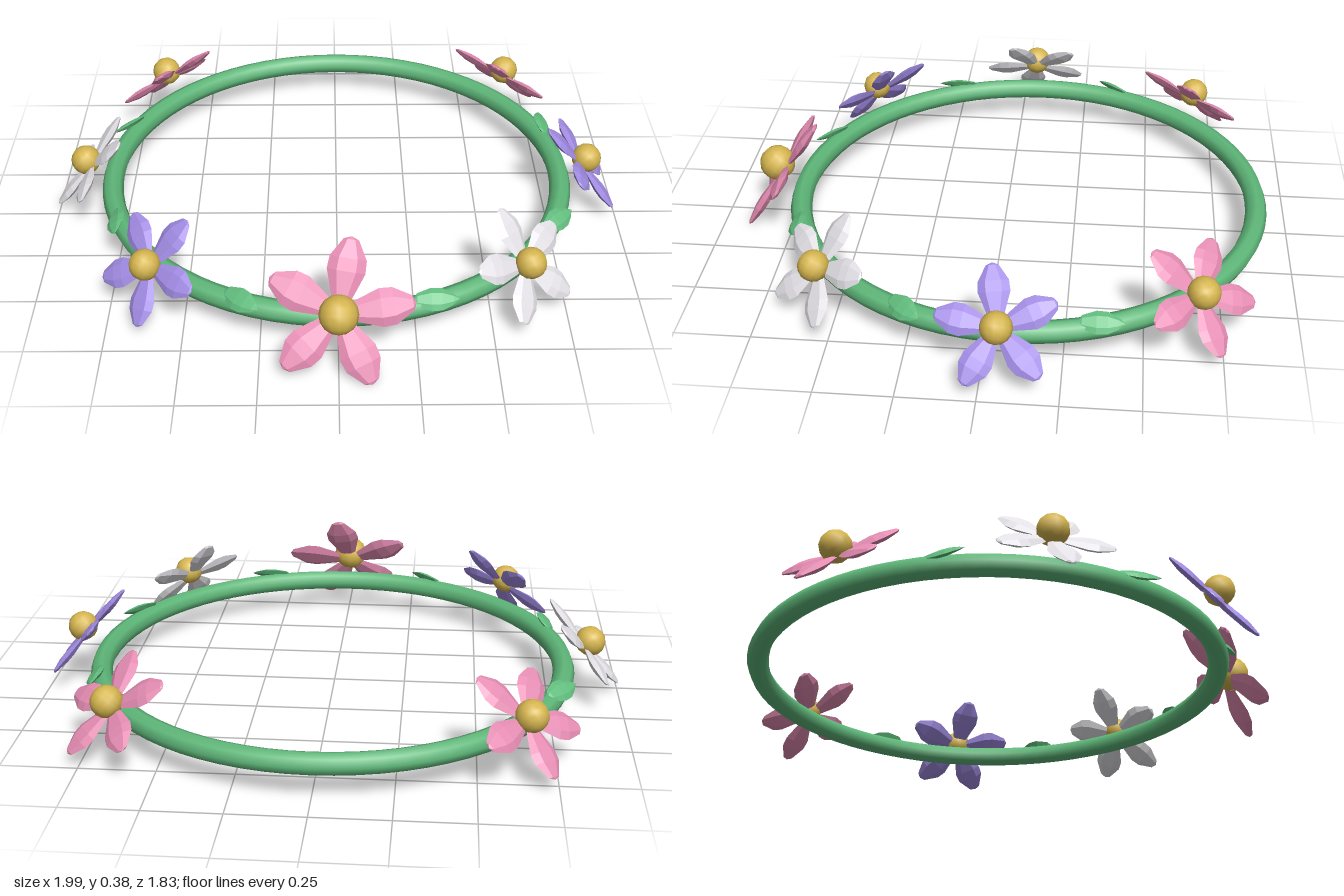
import * as THREE from 'three';

const rad = THREE.MathUtils.degToRad;

function material(name, color) {
  const m = new THREE.MeshStandardMaterial({ color });
  m.name = name;
  return m;
}

// Six-sided blade along +y, flattened in z, with faceted normals
function bladeGeometry(profile, thickness) {
  const points = profile.map(([r, y]) => new THREE.Vector2(r, y));
  const geometry = new THREE.LatheGeometry(points, 6, Math.PI / 2).scale(1, 1, thickness);
  const flat = geometry.toNonIndexed();
  flat.computeVertexNormals();
  return flat;
}

export function createModel() {
  const model = new THREE.Group();
  model.name = 'flowerCrown';

  const stem = material('stemGreen', 0x5fb87a);
  const leafGreen = material('leafGreen', 0x62bd7e);
  const gold = material('gold', 0xd6b650);
  const pink = material('pink', 0xe48cb2);
  const white = material('white', 0xe2e0e5);
  const purple = material('purple', 0xa28ce4);

  // The crown's circle lies slightly behind the origin
  const crown = new THREE.Group();
  crown.name = 'crown';
  crown.position.z = -0.083;
  model.add(crown);

  // Band
  const band = new THREE.Mesh(new THREE.TorusGeometry(0.8, 0.037, 8, 72).rotateX(Math.PI / 2), stem);
  band.name = 'band';
  band.position.y = 0.125;
  crown.add(band);

  const petalGeometry = bladeGeometry(
    [[0, 0.1], [0.13, 0.2], [0.25, 0.55], [0.24, 0.72], [0.1, 0.96], [0, 1]], 0.3);
  const centreGeometry = new THREE.SphereGeometry(0.26, 12, 8);
  const leafGeometry = bladeGeometry(
    [[0, -0.075], [0.022, -0.06], [0.038, -0.015], [0.036, 0.02], [0.018, 0.055], [0, 0.075]], 0.3);

  // Places a group on the band, facing outward and tilted upward
  function place(name, angle, radius, y, turn, tilt) {
    const group = new THREE.Group();
    group.name = name;
    group.rotation.order = 'YXZ';
    group.rotation.set(-rad(tilt), rad(angle + turn), 0);
    group.position.set(Math.sin(rad(angle)) * radius, y, Math.cos(rad(angle)) * radius);
    crown.add(group);
    return group;
  }

  // Flowers: [position along band, size, tilt, petal phase, colour]
  const flowers = [
    [-3, 0.205, 47, -28, pink],
    [-2, 0.2, 41, -10, white],
    [-1, 0.2, 39, 0, purple],
    [0, 0.242, 34, 8, pink],
    [1, 0.2, 39, 18, white],
    [2, 0.2, 41, 27, purple],
    [3, 0.205, 47, 44, pink],
  ];
  for (const [i, size, tilt, phase, color] of flowers) {
    const flower = place('flower', i * 44, 0.872, 0.19, 0, tilt);
    flower.scale.setScalar(size);
    for (let k = 0; k < 5; k++) {
      const petal = new THREE.Mesh(petalGeometry, color);
      petal.name = 'petal';
      petal.rotation.z = rad(phase + 72 * k - 90);
      flower.add(petal);
    }
    const centre = new THREE.Mesh(centreGeometry, gold);
    centre.name = 'flowerCentre';
    centre.position.z = 0.13;
    flower.add(centre);
  }

  // Leaves between the flowers, slanting off the band
  for (const angle of [-110, -66, -22, 22, 66, 110]) {
    const holder = place('leaf', angle, 0.825, 0.158, -20, 52);
    const leaf = new THREE.Mesh(leafGeometry, leafGreen);
    leaf.name = 'leafBlade';
    leaf.rotation.z = -Math.PI / 2;
    holder.add(leaf);
  }

  return model;
}
